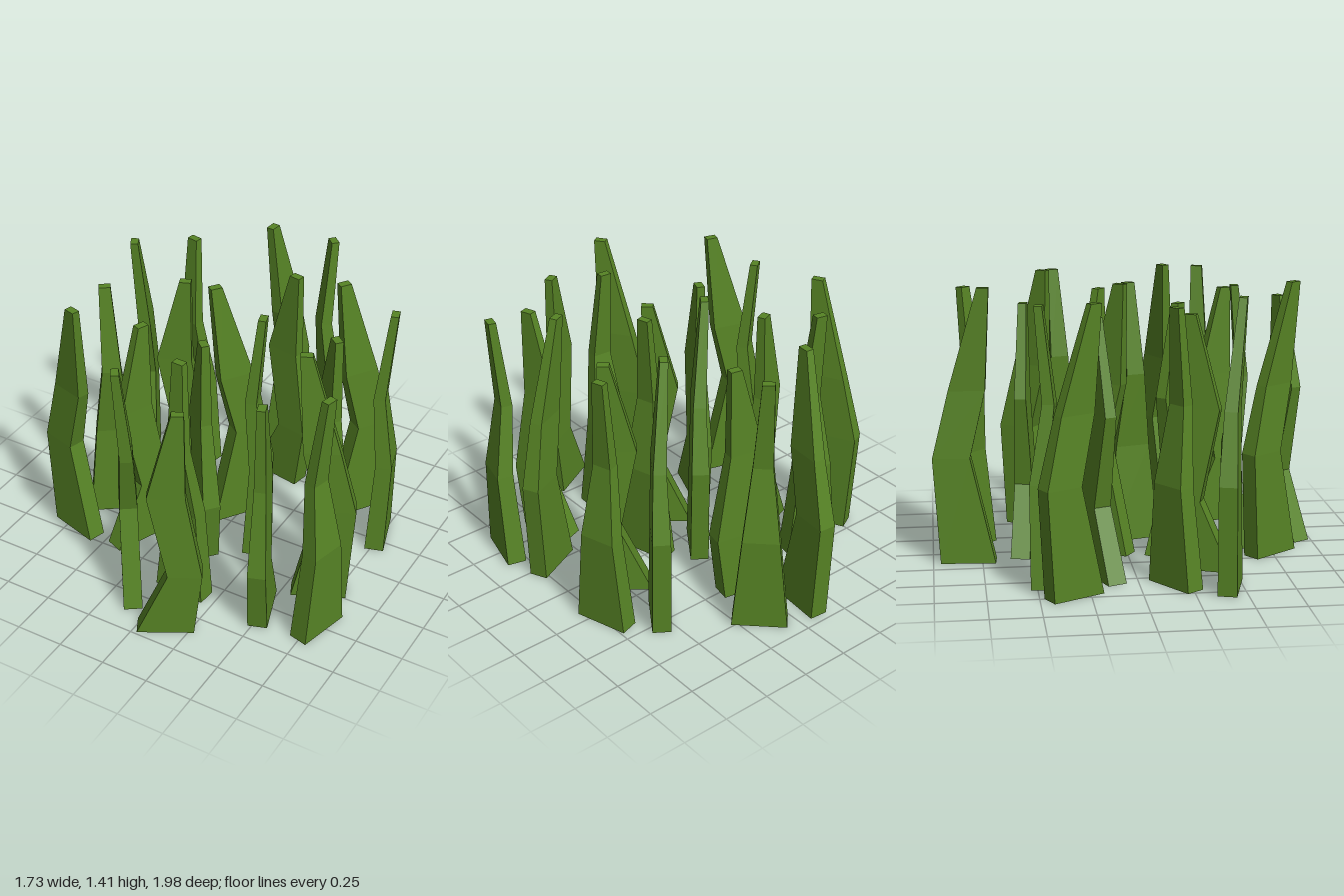
import * as THREE from 'three';

// Blade sections, bottom to top: [height, inner edge, outer edge, thickness, sideways bend]
const BLADES = [
  {
    name: 'tallBlade', x: -0.063, z: -0.169, angle: 125,
    sections: [[0, -0.124, 0.156, 0.095, 0], [0.55, -0.156, 0.034, 0.09, 0],
      [0.895, -0.07, 0.115, 0.065, 0], [1.415, 0.083, 0.143, 0.04, 0.035]],
  },
  {
    name: 'middleBlade', x: 0.148, z: -0.005, angle: 74,
    sections: [[0, -0.14, 0.14, 0.1, 0], [0.51, -0.09, 0.095, 0.085, -0.017],
      [0.9, -0.045, 0.055, 0.06, 0.03], [1.375, -0.04, 0.02, 0.04, -0.015]],
  },
  {
    name: 'shortBlade', x: -0.085, z: 0.175, angle: 41,
    sections: [[0, -0.165, 0.12, 0.1, 0], [0.355, -0.005, 0.165, 0.092, 0],
      [0.825, -0.095, 0.09, 0.06, 0], [1.295, 0.03, 0.09, 0.042, 0]],
  },
];

// Clumps: [x, z, turn in degrees]
const CLUMPS = [
  [0.02, -0.72, -30], [0.013, 0.725, -70], [-0.552, -0.323, -62.5],
  [-0.565, 0.314, -109], [0.042, 0.056, 0], [0.582, -0.296, -1], [0.65, 0.433, 30],
];

// A box with three height segments, each ring moved to its section
function bladeGeometry(sections) {
  const geometry = new THREE.BoxGeometry(1, 1, 1, 1, 3, 1);
  const pos = geometry.attributes.position;
  for (let i = 0; i < pos.count; i++) {
    const [y, inner, outer, thick, bend] = sections[Math.round((pos.getY(i) + 0.5) * 3)];
    pos.setXYZ(i, pos.getX(i) < 0 ? inner : outer, y, pos.getZ(i) * thick + bend);
  }
  const flat = geometry.toNonIndexed();
  flat.computeVertexNormals();
  return flat;
}

export function createModel() {
  const model = new THREE.Group();
  model.name = 'grassPatch';
  const green = new THREE.MeshStandardMaterial({ color: 0x578425, flatShading: true });
  green.name = 'grassGreen';
  const geometries = BLADES.map((b) => bladeGeometry(b.sections));

  // Every clump repeats the same three blades
  for (const [x, z, turn] of CLUMPS) {
    const clump = new THREE.Group();
    clump.name = 'grassClump';
    clump.position.set(x, 0, z);
    clump.rotation.y = -THREE.MathUtils.degToRad(turn);
    BLADES.forEach((b, i) => {
      const blade = new THREE.Mesh(geometries[i], green);
      blade.name = b.name;
      blade.position.set(b.x, 0, b.z);
      blade.rotation.y = -THREE.MathUtils.degToRad(b.angle);
      clump.add(blade);
    });
    model.add(clump);
  }
  return model;
}
